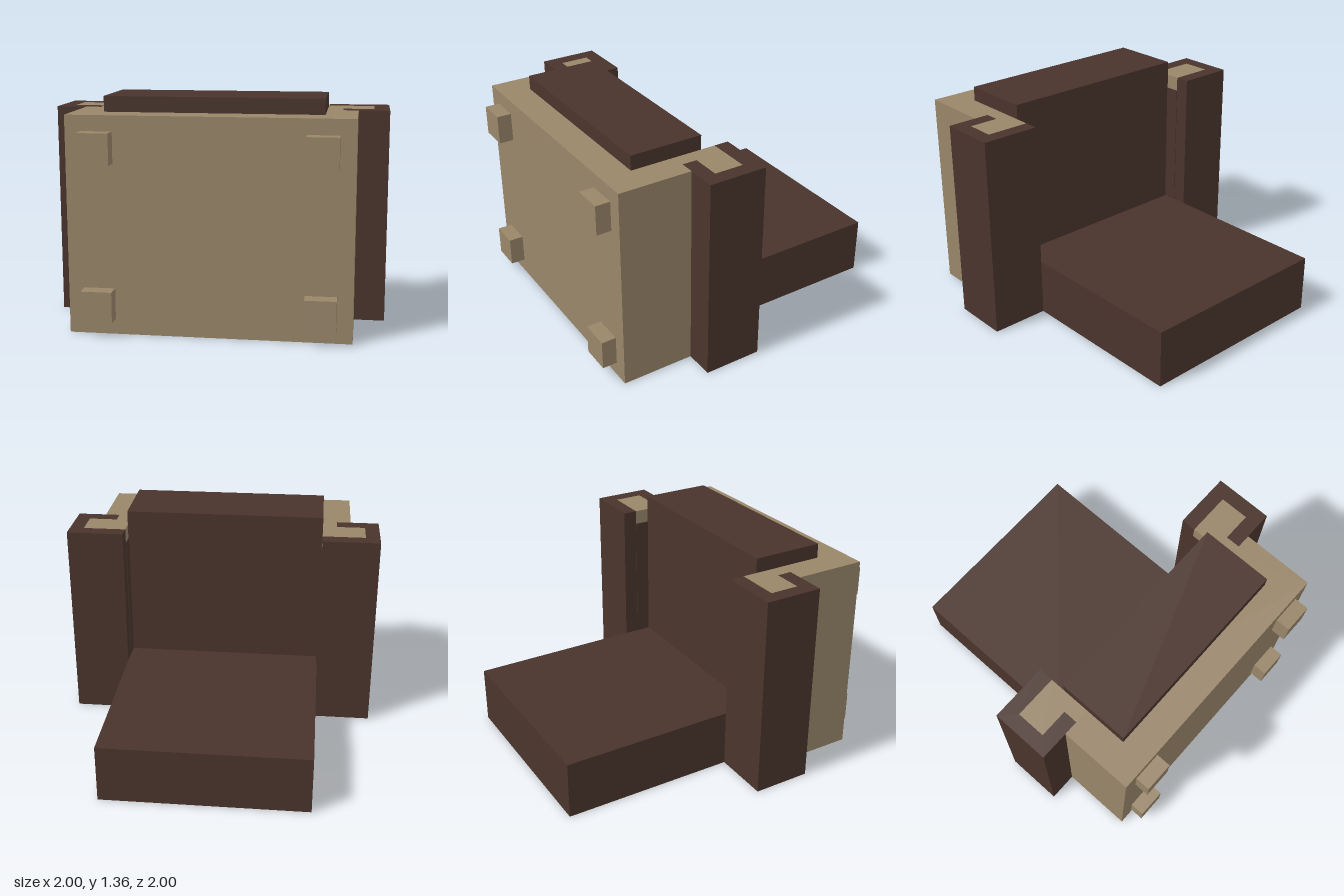
import * as THREE from 'three';

const U = 1 / 11; // modelling unit

export function createModel() {
  const model = new THREE.Group();
  model.name = 'armchair';
  const brown = new THREE.MeshStandardMaterial({ color: 0x4a342c });
  brown.name = 'dark brown leather';
  const tan = new THREE.MeshStandardMaterial({ color: 0x99866a });
  tan.name = 'tan wood';

  const add = (name, geometry, material) => {
    const mesh = new THREE.Mesh(geometry, material);
    mesh.name = name;
    model.add(mesh);
    return mesh;
  };

  // Box from min/max corners, in modelling units
  const box = (name, [x0, y0, z0], [x1, y1, z1], material) => {
    const g = new THREE.BoxGeometry((x1 - x0) * U, (y1 - y0) * U, (z1 - z0) * U);
    g.translate(((x0 + x1) / 2) * U, ((y0 + y1) / 2) * U, ((z0 + z1) / 2) * U);
    return add(name, g, material);
  };

  // Plan outline [x, z] pulled up along y
  const prism = (name, points, height, material) => {
    const shape = new THREE.Shape(points.map(([x, z]) => new THREE.Vector2(x * U, -z * U)));
    const g = new THREE.ExtrudeGeometry(shape, { depth: height * U, bevelEnabled: false });
    g.rotateX(-Math.PI / 2);
    return add(name, g, material);
  };

  // Frame: block with a hooked rail inside each arm
  const side = [[9, 10], [9, 5], [8, 5], [8, 4], [10, 4], [10, 2], [7, 2], [7, 5]];
  const mirrored = side.map(([x, z]) => [-x, z]).reverse();
  prism('frame', [...side, ...mirrored], 14, tan);

  // Arm covers wrapped around the rails
  const cover = [[7, 1], [11, 1], [11, 5], [8, 5], [8, 4], [10, 4], [10, 2], [7, 2]];
  for (const s of [1, -1]) {
    prism(s > 0 ? 'leftArm' : 'rightArm', cover.map(([x, z]) => [s * x, z]), 14, brown);
    // Thin lining on the inner side of the arm
    const a = s * 7, b = s * 6.96;
    box(s > 0 ? 'leftArmLining' : 'rightArmLining',
      [Math.min(a, b), 4, 2], [Math.max(a, b), 13, 3], brown);
  }

  // Cushions
  box('seatCushion', [-7, 0.06, 3], [7, 15, 8], brown);
  box('backrest', [-7, 0, -11], [7, 4, 2], brown);
  box('backrestRoot', [-7, 0.06, 2], [7, 4, 3], brown);
  box('rearPanel', [-7, 0, 2], [7, 0.06, 5], tan);

  // Feet
  for (const x of [-8, 6]) {
    for (const y of [1, 11]) box('foot', [x, y, 10], [x + 2, y + 2, 11], tan);
  }
  return model;
}
